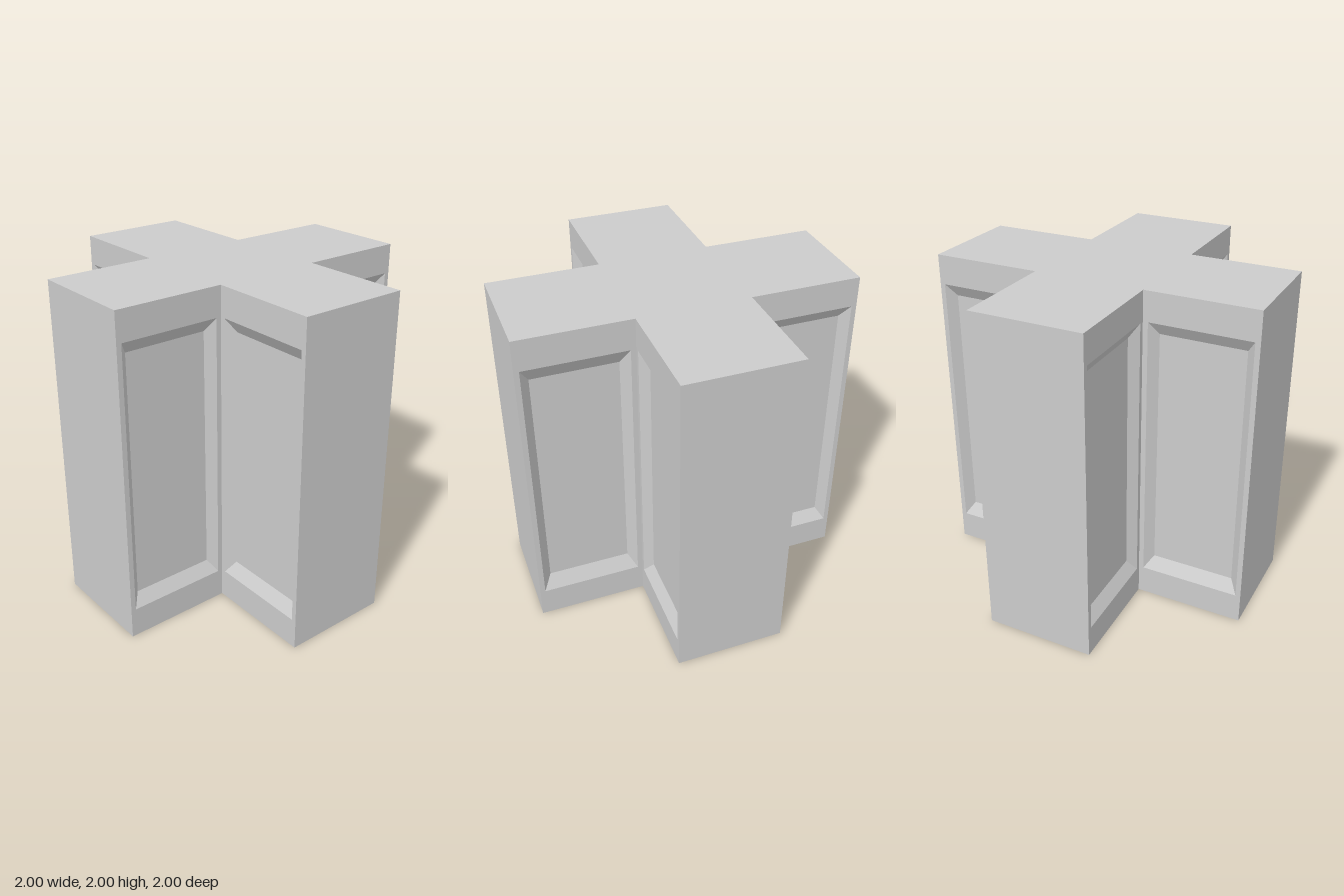
import * as THREE from 'three';

const H = 2, A = 1 / 3, R = 1; // height, arm half-width, arm reach
const DEPTH = 0.05;            // panel recess depth

// Rectangle corners, counter-clockwise from bottom left
const rect = (halfW, y0, y1, z) =>
  [[-halfW, y0, z], [halfW, y0, z], [halfW, y1, z], [-halfW, y1, z]];

// Wall facing +z with a bevelled, sunken panel, lofted through nested rectangles
function panelWall(margin, slopeW, slopeH) {
  const half = (R - A) / 2, open = 0.303;
  const rings = [
    rect(half, 0, H, 0),
    rect(open, margin, H - margin, 0),
    rect(open - slopeW, margin + slopeH, H - margin - slopeH, -DEPTH),
  ];
  const pos = [];
  const quad = (a, b, c, d) => pos.push(...a, ...b, ...c, ...a, ...c, ...d);
  for (let r = 0; r < 2; r++) {
    for (let i = 0; i < 4; i++) {
      const j = (i + 1) % 4;
      quad(rings[r][i], rings[r][j], rings[r + 1][j], rings[r + 1][i]);
    }
  }
  quad(...rings[2]);
  const g = new THREE.BufferGeometry();
  g.setAttribute('position', new THREE.Float32BufferAttribute(pos, 3));
  g.computeVertexNormals();
  return g;
}

export function createModel() {
  const model = new THREE.Group();
  model.name = 'crossBlock';
  const mat = new THREE.MeshStandardMaterial({ color: 0xcccccc, flatShading: true });
  const add = (geo, name, parent = model) => {
    const m = new THREE.Mesh(geo, mat);
    m.name = name;
    parent.add(m);
    return m;
  };

  // Cross-shaped top and bottom
  const cross = new THREE.Shape([
    [A, A], [A, R], [-A, R], [-A, A], [-R, A], [-R, -A],
    [-A, -A], [-A, -R], [A, -R], [A, -A], [R, -A], [R, A],
  ].map(([x, y]) => new THREE.Vector2(x, y)));
  const cap = new THREE.ShapeGeometry(cross);
  add(cap.clone().rotateX(-Math.PI / 2), 'top').position.y = H;
  add(cap.clone().rotateX(Math.PI / 2), 'bottom');

  // Four quarter turns: arm end plus the two panelled walls facing the same way
  const wall = panelWall(0.18, 0.05, 0.077);
  const softWall = panelWall(0.187, 0.052, 0.091); // one panel has gentler slopes
  const end = new THREE.PlaneGeometry(2 * A, H);
  for (let k = 0; k < 4; k++) {
    const side = new THREE.Group();
    side.name = 'side' + (k + 1);
    side.rotation.y = k * Math.PI / 2;
    model.add(side);
    add(end, 'armEnd', side).position.set(0, H / 2, R);
    for (const s of [-1, 1]) {
      const geo = k === 1 && s === -1 ? softWall : wall;
      add(geo, 'panelWall', side).position.set(s * (R + A) / 2, 0, A);
    }
  }
  return model;
}
